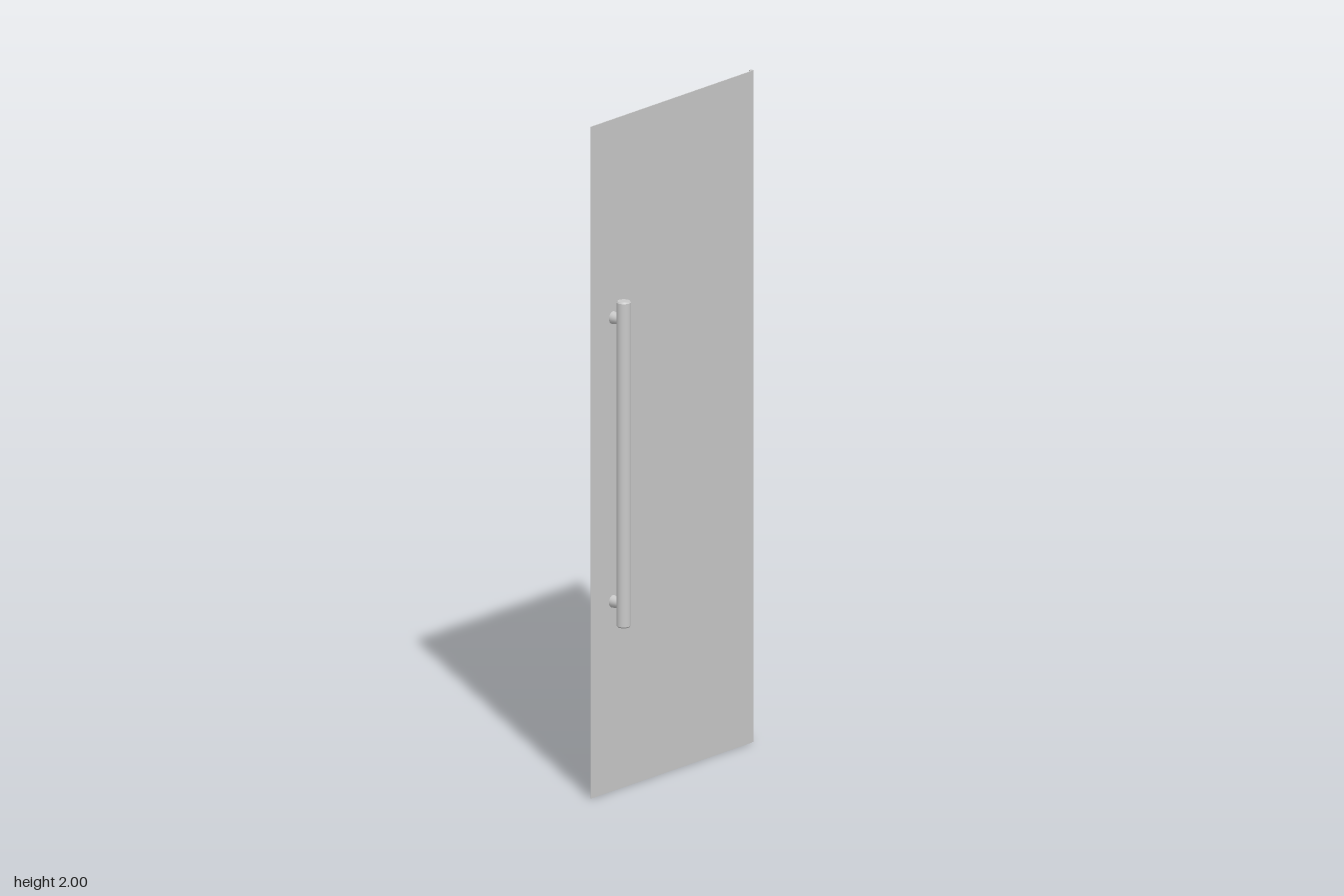
import * as THREE from 'three';

// One light grey throughout; double sided because the posts are open tubes
const grey = new THREE.MeshStandardMaterial({ color: 0xc8c8c8, side: THREE.DoubleSide });
grey.name = 'lightGrey';

const POST_X = -0.271, POST_YS = [0.565, 1.41];
const BAR_X = -0.28, BAR_Z = 0.018;
const PANEL_BACK = -0.032, PANEL_THICK = 0.003;

function addMesh(parent, name, geometry) {
  const mesh = new THREE.Mesh(geometry, grey);
  mesh.name = name;
  parent.add(mesh);
  return mesh;
}

// Closed outline given as [x, y] pairs
function outline(points) {
  return new THREE.Shape(points.map(([x, y]) => new THREE.Vector2(x, y)));
}

export function createModel() {
  const door = new THREE.Group();
  door.name = 'glassDoor';

  // Thin glass leaf, drilled for the handle fixings
  const leaf = outline([[-0.37, 0], [0.358, 0], [0.358, 2], [-0.37, 2]]);
  for (const y of POST_YS) {
    const hole = new THREE.Path();
    hole.absarc(POST_X, y, 0.017, 0, Math.PI * 2, true);
    leaf.holes.push(hole);
  }
  const panel = addMesh(door, 'glassPanel', new THREE.ExtrudeGeometry(leaf, {
    depth: PANEL_THICK, bevelEnabled: false, curveSegments: 12,
  }));
  panel.position.z = PANEL_BACK;

  // Seal along the hinge edge: a sloping lip and a square bead (profile in x, -z)
  const sealShape = outline([
    [0.35, 0.032], [0.352, 0.0325], [0.361, 0.037], [0.361, 0.041],
    [0.369, 0.041], [0.369, 0.031], [0.358, 0.031], [0.358, 0.032],
  ]);
  const sealGeo = new THREE.ExtrudeGeometry(sealShape, { depth: 2, bevelEnabled: false });
  sealGeo.rotateX(-Math.PI / 2);
  addMesh(door, 'edgeSeal', sealGeo);

  // Pull handle
  const handle = new THREE.Group();
  handle.name = 'pullHandle';
  door.add(handle);

  // Round bar with softened rims; doubled points keep the end caps flat
  const profile = [
    [0, 0.5], [0.018, 0.5], [0.018, 0.5], [0.021, 0.504], [0.021, 0.504],
    [0.021, 1.466], [0.021, 1.466], [0.018, 1.47], [0.018, 1.47], [0, 1.47],
  ].map(([r, y]) => new THREE.Vector2(r, y));
  const bar = addMesh(handle, 'handleBar', new THREE.LatheGeometry(profile, 24));
  bar.position.set(BAR_X, 0, BAR_Z);

  // Hollow flared posts that lean towards the bar, open to the holes in the leaf
  const postStart = PANEL_BACK + PANEL_THICK, postEnd = 0.008;
  for (const y of POST_YS) {
    const geo = new THREE.CylinderGeometry(0.013, 0.0185, postEnd - postStart, 20, 4, true);
    geo.rotateX(Math.PI / 2);
    geo.translate(0, 0, (postStart + postEnd) / 2);
    const pos = geo.attributes.position;
    for (let i = 0; i < pos.count; i++) {
      const t = (pos.getZ(i) - postStart) / (postEnd - postStart);
      pos.setX(i, pos.getX(i) + (BAR_X + 0.004 - POST_X) * t);
    }
    geo.computeVertexNormals();
    const post = addMesh(handle, 'handlePost', geo);
    post.position.set(POST_X, y, 0);
  }

  return door;
}
